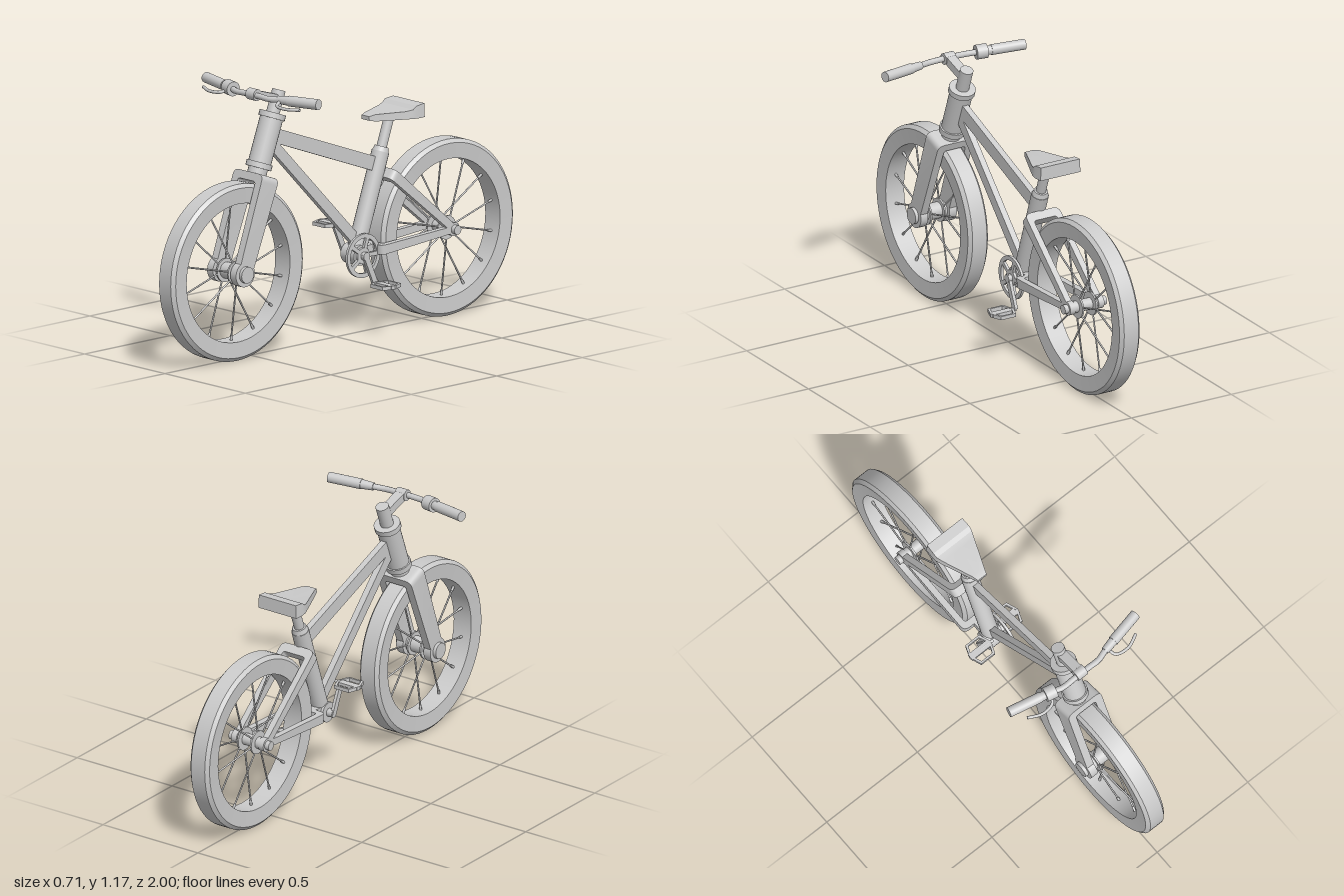
import * as THREE from 'three';
import { toCreasedNormals } from 'three/addons/utils/BufferGeometryUtils.js';

const V = (x, y, z) => new THREE.Vector3(x, y, z);
const UP = V(0, 1, 0);
const mat = new THREE.MeshStandardMaterial({ color: 0xcccccc, side: THREE.DoubleSide });

const WHEEL_Y = 0.39, FRONT_Z = 0.614, REAR_Z = -0.614;
const BB = V(0, 0.35, -0.11); // crank centre

export function createModel() {
  const root = new THREE.Group();
  root.name = 'bicycle';

  const add = (name, geo, parent = root) => {
    const m = new THREE.Mesh(geo, mat);
    m.name = name;
    parent.add(m);
    return m;
  };
  const group = (name, pos) => {
    const g = new THREE.Group();
    g.name = name;
    g.position.copy(pos);
    root.add(g);
    return g;
  };
  // Place a y-aligned mesh between two points
  const span = (m, a, b) => {
    m.position.copy(a).lerp(b, 0.5);
    m.quaternion.setFromUnitVectors(UP, b.clone().sub(a).normalize());
    return m;
  };
  const rod = (name, a, b, r, parent, r2 = r, seg = 24) =>
    span(add(name, new THREE.CylinderGeometry(r2, r, a.distanceTo(b), seg), parent), a, b);
  const beam = (name, a, b, w, d, parent) =>
    span(add(name, new THREE.BoxGeometry(w, a.distanceTo(b), d), parent), a, b);
  const tube = (name, pts, r) =>
    add(name, new THREE.TubeGeometry(new THREE.CatmullRomCurve3(pts), 32, r, 10), root);

  // Wheels: chamfered tyre, hub with two flanges, thin spokes
  const profile = [[0.302, -0.046], [0.37, -0.05], [0.386, -0.036], [0.386, 0.036],
    [0.37, 0.05], [0.302, 0.046], [0.302, -0.046]].map(p => new THREE.Vector2(...p));
  const tyreGeo = toCreasedNormals(new THREE.LatheGeometry(profile, 72).rotateZ(Math.PI / 2), 0.5);
  const makeWheel = (name, z) => {
    const w = group(name, V(0, WHEEL_Y, z));
    add('tyre', tyreGeo, w);
    rod('hub', V(-0.06, 0, 0), V(0.06, 0, 0), 0.026, w);
    for (const s of [-1, 1]) rod('hubFlange', V(s * 0.03, 0, 0), V(s * 0.038, 0, 0), 0.052, w);
    const n = 14;
    for (let i = 0; i < n; i++) {
      const a = i / n * Math.PI * 2, c = Math.cos(a), k = Math.sin(a), x = i % 2 ? 0.034 : -0.034;
      rod('spoke', V(x, 0.045 * c, 0.045 * k), V(0, 0.305 * c, 0.305 * k), 0.004, w, 0.004, 6);
      rod('spokeNipple', V(x * 0.1, 0.28 * c, 0.28 * k), V(0, 0.305 * c, 0.305 * k), 0.006, w, 0.006, 6);
    }
  };
  makeWheel('frontWheel', FRONT_Z);
  makeWheel('rearWheel', REAR_Z);

  // Yoke: U-shaped bracket straddling a wheel, pointing from the axle to a target
  const makeYoke = (name, z, target, len, bridge, outer, inner, dLow, dTop, endR) => {
    const g = group(name, V(0, WHEEL_Y, z));
    g.rotation.x = Math.atan2(target.z - z, target.y - WHEEL_Y);
    const r = 0.03, q = 0.014, top = len - bridge;
    const s = new THREE.Shape();
    s.moveTo(-outer, 0);
    s.lineTo(-outer, len - r);
    s.quadraticCurveTo(-outer, len, -outer + r, len);
    s.lineTo(outer - r, len);
    s.quadraticCurveTo(outer, len, outer, len - r);
    s.lineTo(outer, 0);
    s.lineTo(inner, 0);
    s.lineTo(inner, top - q);
    s.quadraticCurveTo(inner, top, inner - q, top);
    s.lineTo(-inner + q, top);
    s.quadraticCurveTo(-inner, top, -inner, top - q);
    s.lineTo(-inner, 0);
    const geo = new THREE.ExtrudeGeometry(s, { depth: 1, bevelEnabled: false, curveSegments: 6 });
    const p = geo.attributes.position;
    for (let i = 0; i < p.count; i++)
      p.setZ(i, (p.getZ(i) - 0.5) * THREE.MathUtils.lerp(dLow, dTop, p.getY(i) / len));
    geo.computeVertexNormals();
    add('legs', toCreasedNormals(geo, 0.5), g);
    for (const k of [-1, 1]) rod('dropout', V(k * inner, 0, 0), V(k * outer, 0, 0), endR, g);
    return g;
  };

  // Steering column: points along the tilted axis through the front axle
  const lean = 0.358;
  const steer = s => V(0, WHEEL_Y + s * Math.cos(lean), FRONT_Z - s * Math.sin(lean));
  makeYoke('fork', FRONT_Z, steer(1), 0.43, 0.036, 0.09, 0.054, 0.08, 0.1, 0.055);
  rod('frontAxle', V(-0.105, WHEEL_Y, FRONT_Z), V(0.105, WHEEL_Y, FRONT_Z), 0.036);
  rod('forkCrown', steer(0.42), steer(0.46), 0.042);
  rod('lowerHeadRing', steer(0.455), steer(0.48), 0.057);
  rod('headTube', steer(0.47), steer(0.69), 0.05);
  rod('upperHeadRing', steer(0.675), steer(0.7), 0.058);
  rod('steerer', steer(0.69), steer(0.8), 0.029);

  // Main frame
  const seat = y => V(0, y, BB.z - (y - BB.y) * 0.353);
  beam('topTube', V(0, 0.95, 0.375), V(0, 0.716, -0.25), 0.028, 0.062);
  beam('downTube', V(0, 0.93, 0.4), V(0, 0.405, -0.115), 0.028, 0.048);
  rod('seatTube', BB, seat(0.775), 0.038);
  rod('seatCollar', seat(0.775), seat(0.795), 0.036, root, 0.03);
  rod('seatPost', seat(0.78), seat(0.93), 0.022);
  rod('crankShell', V(-0.042, BB.y, BB.z), V(0.042, BB.y, BB.z), 0.045);

  // Rear stays
  const seatJoin = V(0, 0.69, -0.255), chainJoin = V(0, 0.365, -0.19);
  makeYoke('seatStays', REAR_Z, seatJoin, 0.465, 0.04, 0.085, 0.057, 0.034, 0.046, 0.03);
  makeYoke('chainStays', REAR_Z, chainJoin, 0.425, 0.03, 0.085, 0.057, 0.03, 0.042, 0.03);
  beam('chainStayLink', V(0, 0.367, -0.21), V(0, 0.36, -0.12), 0.06, 0.04);
  rod('rearAxle', V(-0.105, WHEEL_Y, REAR_Z), V(0.105, WHEEL_Y, REAR_Z), 0.02);

  // Saddle: box whose sections follow [z, half width, bottom, top]
  const sections = [[-0.172, 0.024, 0.926, 0.944], [-0.2, 0.034, 0.92, 0.95], [-0.33, 0.088, 0.917, 0.951],
    [-0.36, 0.1, 0.917, 0.956], [-0.38, 0.102, 0.915, 0.97], [-0.425, 0.1, 0.915, 0.975]];
  const saddle = new THREE.BoxGeometry(2, 1, 1, 2, 1, 5);
  const sp = saddle.attributes.position;
  for (let i = 0; i < sp.count; i++) {
    const [z, w, lo, hi] = sections[Math.round((0.5 - sp.getZ(i)) * 5)];
    const up = sp.getY(i) > 0;
    sp.setXYZ(i, sp.getX(i) * w * (up ? 0.97 : 1), up ? hi : lo, z);
  }
  add('saddle', toCreasedNormals(saddle, 0.4));

  // Handlebar, stem and grips
  const grip = (s, x) => V(s * x, 1.143 + (x - 0.15) * 0.03, 0.472 - (x - 0.15) * 0.21);
  const half = [V(0.04, 1.142, 0.487), V(0.1, 1.14, 0.487), grip(1, 0.15), grip(1, 0.22), grip(1, 0.34)];
  const mirror = v => V(-v.x, v.y, v.z);
  tube('handlebar', [...half.map(mirror).reverse(), ...half], 0.013);
  beam('stem', V(0, 1.1, 0.335), V(0, 1.143, 0.475), 0.044, 0.036);
  rod('barClamp', V(-0.025, 1.143, 0.482), V(0.025, 1.143, 0.482), 0.025);
  for (const s of [-1, 1]) {
    const side = s > 0 ? 'left' : 'right';
    rod(side + 'Grip', grip(s, 0.2), grip(s, 0.35), 0.023);
    rod(side + 'GripCollar', grip(s, 0.145), grip(s, 0.205), 0.017, root, 0.021);
    tube(side + 'BrakeLever', [V(s * 0.16, 1.14, 0.475), V(s * 0.175, 1.127, 0.51),
      V(s * 0.235, 1.124, 0.52), V(s * 0.3, 1.126, 0.493)], 0.007);
  }
  rod('shifter', grip(-1, 0.132), grip(-1, 0.18), 0.032);

  // Chainring: disc with five sector windows
  const ring = new THREE.Shape().absarc(0, 0, 0.096, 0, Math.PI * 2);
  for (let i = 0; i < 5; i++) {
    const a = i * Math.PI * 0.4, o = 0.12, hole = new THREE.Path();
    hole.absarc(0, 0, 0.077, a + o, a + Math.PI * 0.4 - o, false);
    hole.absarc(0, 0, 0.035, a + Math.PI * 0.4 - 2 * o, a + 2 * o, true);
    hole.closePath();
    ring.holes.push(hole);
  }
  const ringGeo = new THREE.ExtrudeGeometry(ring, { depth: 0.012, bevelEnabled: false, curveSegments: 32 });
  add('chainring', ringGeo.rotateY(Math.PI / 2)).position.set(0.044, BB.y, BB.z);
  rod('crankAxle', V(-0.07, BB.y, BB.z), V(0.075, BB.y, BB.z), 0.018);

  // Cranks and hexagonal cage pedals
  const hex = (k, Path) => new Path([[0.058, 0], [0.038, 0.054], [-0.038, 0.054], [-0.058, 0],
    [-0.038, -0.054], [0.038, -0.054]].map(([x, y]) => new THREE.Vector2(x - Math.sign(x) * k, y - Math.sign(y) * k)));
  const cage = hex(0, THREE.Shape);
  cage.holes.push(hex(0.009, THREE.Path));
  const cageGeo = new THREE.ExtrudeGeometry(cage, { depth: 0.016, bevelEnabled: false })
    .translate(0, 0, -0.008).rotateX(Math.PI / 2);
  for (const s of [1, -1]) {
    const side = s > 0 ? 'left' : 'right';
    const end = V(s * 0.066, BB.y - s * 0.125, BB.z - s * 0.055);
    beam(side + 'Crank', V(s * 0.066, BB.y + s * 0.012, BB.z + s * 0.005), end, 0.014, 0.026);
    const pedal = group(side + 'Pedal', V(s * (s > 0 ? 0.133 : 0.108), end.y, end.z));
    add('cage', cageGeo, pedal);
    add('centreBar', new THREE.BoxGeometry(0.11, 0.013, 0.032), pedal);
    rod('spindle', V(0, 0, 0), V(-s * 0.07, 0, 0), 0.007, pedal);
  }
  return root;
}
